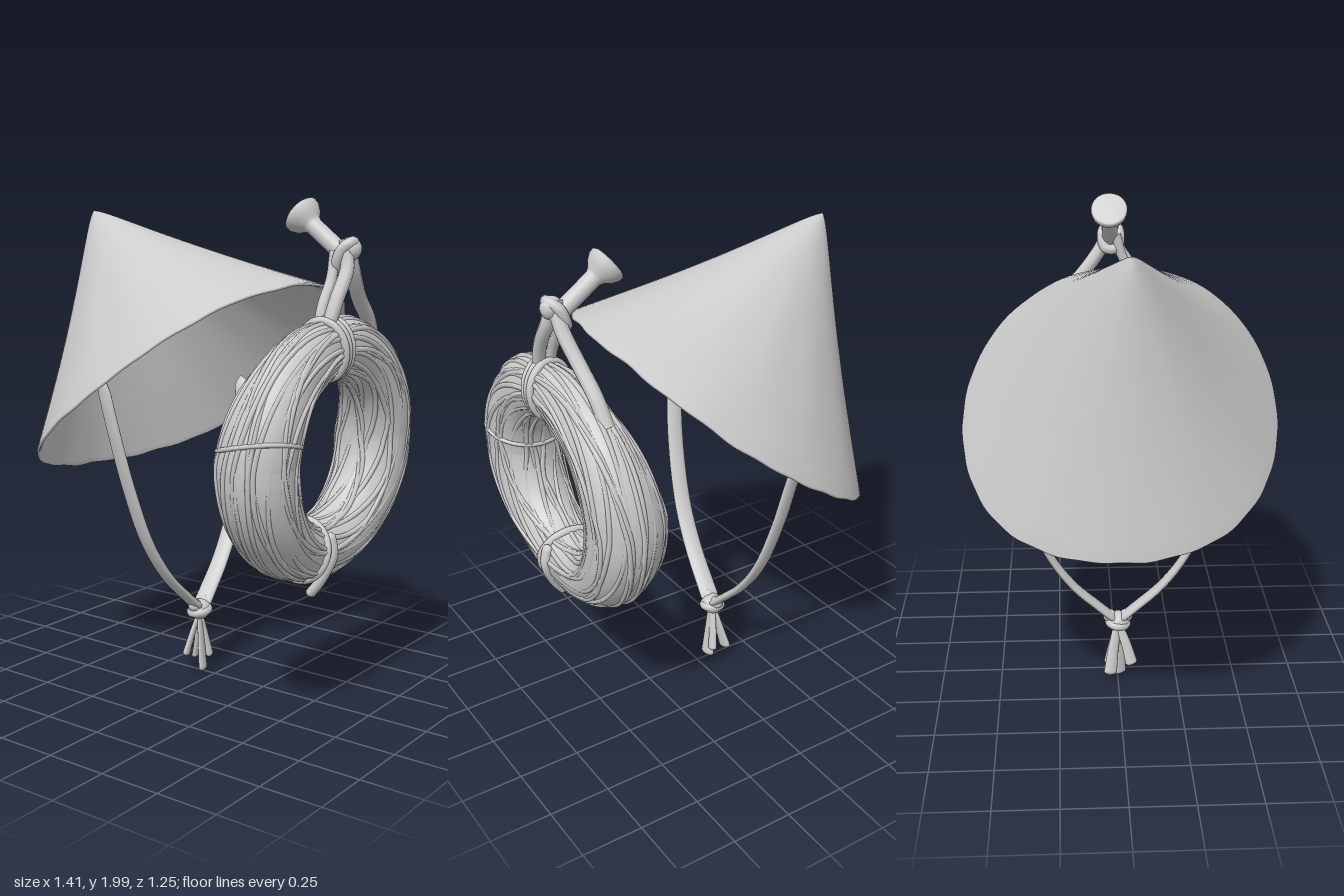
import * as THREE from 'three';

const V = (x, y, z) => new THREE.Vector3(x, y, z);
const grey = new THREE.MeshStandardMaterial({ color: 0xcccccc });
grey.name = 'plain grey';

// Smooth skin over rings: fn(u, v) gives a point, v wraps around each ring
function skin(nu, nv, fn) {
  const pos = [], idx = [];
  for (let i = 0; i <= nu; i++)
    for (let j = 0; j < nv; j++) pos.push(...fn(i / nu, j / nv).toArray());
  for (let i = 0; i < nu; i++)
    for (let j = 0; j < nv; j++) {
      const k = (j + 1) % nv;
      const a = i * nv + j, b = i * nv + k, c = a + nv, d = b + nv;
      idx.push(a, b, d, a, d, c);
    }
  const g = new THREE.BufferGeometry();
  g.setAttribute('position', new THREE.Float32BufferAttribute(pos, 3));
  g.setIndex(idx);
  g.computeVertexNormals();
  return g;
}

// Strip with an oval section swept along a path, rounded off at both ends
function strip(points, wide, halfWide, halfThick, taper = () => 1) {
  const curve = new THREE.CatmullRomCurve3(points);
  return skin(32, 12, (u, v) => {
    const t = curve.getTangent(u);
    const a = wide.clone().addScaledVector(t, -wide.dot(t)).normalize();
    const b = t.clone().cross(a);
    const end = Math.min(1, Math.sqrt(Math.max(0, Math.min(u, 1 - u)) * 16)) * taper(u);
    const w = v * Math.PI * 2;
    return curve.getPoint(u)
      .addScaledVector(a, Math.cos(w) * halfWide * end)
      .addScaledVector(b, Math.sin(w) * halfThick * end);
  });
}

const cord = (points, r, closed = false, n = 24) =>
  new THREE.TubeGeometry(new THREE.CatmullRomCurve3(points, closed), n, r, 8, closed);

// Tilted conical hat
const APEX = V(-0.632, 1.957, 0.025);
const AXIS = V(0.58, -0.81, 0);
function hatPoint(s, t) {
  const full = 1 + 0.02 * Math.sin(2 * t) ** 2;
  const c = Math.cos(t) * full, n = Math.sin(t) * full;
  const rim = V(-0.115 + 0.583 * c - 0.045 * n, 1.21 + 0.42 * c + 0.05 * c * c + 0.045 * n, 0.62 * n + 0.012 * c * c);
  const ragged = 1 + s ** 6 * (0.003 * Math.sin(5 * t + 1) + 0.002 * Math.sin(23 * t + 1));
  const p = APEX.clone().lerp(rim, s * ragged);
  // slight sag, blunt tip and shallow creases
  const dent = 0.022 * Math.sin(Math.PI * s) + 0.018 * Math.exp(-s * 25)
    + 0.003 * s * Math.sin(13 * t) * Math.sin(5 * s + t);
  return p.addScaledVector(AXIS, dent);
}
function hatGeometry() {
  const rows = [];
  for (let i = 0; i <= 24; i++) rows.push([(i / 24) ** 1.4, 0]);
  rows.push([1.0, 0.004], [0.995, 0.014], [0.985, 0.018]);
  for (let i = 20; i >= 0; i--) rows.push([0.97 * i / 20, 0.018]);
  const n = rows.length - 1;
  return skin(n, 120, (u, v) => {
    const [s, inset] = rows[Math.round(u * n)];
    return hatPoint(s, v * Math.PI * 2).addScaledVector(AXIS, inset);
  });
}

// Rope coil, standing in the yz plane
const TIE = 1.45;
function coilPoint(phi, v, k) {
  const s = Math.sin(phi), c = Math.cos(phi), up = Math.max(0, s), down = Math.max(0, -s);
  const pinch = Math.exp(-(((phi - TIE) / 0.22) ** 2));
  const R = 0.41 - 0.02 * s * s;
  const rr = (0.147 - 0.027 * s * s) * (1 - 0.12 * pinch) * k;
  const rx = (0.157 - 0.065 * up ** 1.5 - 0.03 * down * down) * (1 - 0.08 * pinch) * k;
  const r = R + rr * Math.cos(v);
  return V(0.54 + 0.06 * up - 0.015 * down * down + rx * Math.sin(v), 1.06 + r * s, 0.07 + r * c);
}

function strandGeometry(i, count) {
  const pts = [];
  for (let j = 0; j < 40; j++) {
    const phi = j / 40 * Math.PI * 2;
    const v = i / count * Math.PI * 2 + 0.22 * Math.sin(phi * 2 + i * 1.3);
    pts.push(coilPoint(phi, v, 0.925 + 0.025 * Math.sin(phi * 3 + i * 2.1)));
  }
  return new THREE.TubeGeometry(new THREE.CatmullRomCurve3(pts, true), 100, 0.011, 6, true);
}

function wrapGeometry(phi, slant, r, k) {
  const pts = [];
  for (let j = 0; j < 20; j++) {
    const v = j / 20 * Math.PI * 2;
    pts.push(coilPoint(phi + slant * Math.sin(v), v, k));
  }
  return cord(pts, r, true, 60);
}

export function createModel() {
  const model = new THREE.Group();
  const group = (name) => {
    const g = new THREE.Group();
    g.name = name;
    model.add(g);
    return g;
  };
  const add = (parent, name, geometry) => {
    const m = new THREE.Mesh(geometry, grey);
    m.name = name;
    parent.add(m);
    return m;
  };

  add(model, 'conicalHat', hatGeometry());

  // Chin straps meeting in a knot with loose tails
  const chin = group('chinStrap');
  for (const side of [1, -1]) {
    add(chin, side > 0 ? 'frontStrap' : 'backStrap', strip([
      V(-0.205, side > 0 ? 1.34 : 1.22, 0.47 * side), V(-0.168, 1.1, 0.435 * side),
      V(-0.14, 0.85, 0.375 * side), V(-0.12, 0.62, 0.29 * side),
      V(-0.105, 0.46, 0.185 * side), V(-0.09, 0.35, 0.075 * side), V(-0.08, 0.28, 0),
    ], V(1, 0, 0.15 * side), 0.042, 0.018, (u) => 0.8 + 0.2 * u));
  }
  const knot = add(chin, 'knot', new THREE.SphereGeometry(0.05, 20, 14));
  knot.position.set(-0.08, 0.28, 0);
  knot.scale.set(0.95, 0.85, 1.05);
  const band = add(chin, 'knotBand', new THREE.TorusGeometry(0.036, 0.02, 10, 24));
  band.position.set(-0.08, 0.275, 0);
  band.rotation.set(Math.PI / 2 + 0.15, 0.12, 0);
  for (const side of [1, -1]) {
    const lump = add(chin, 'knotLump', new THREE.SphereGeometry(0.028, 14, 10));
    lump.position.set(-0.08, 0.305, 0.035 * side);
  }
  for (const [x, y, z, w] of [[-0.13, 0.045, -0.035, 0.03], [-0.058, 0.008, 0.005, 0.034],
    [-0.11, 0.08, 0.06, 0.027], [-0.055, 0.06, -0.04, 0.022]]) {
    add(chin, 'strapTail', strip([V(-0.08, 0.27, 0), V((x - 0.08) / 2, (y + 0.26) / 2, z * 0.6), V(x, y, z)],
      V(0.3, 0, 1), w, 0.015, (u) => 0.6 + 0.4 * u));
  }

  // Coil body with its strands
  const coil = group('ropeCoil');
  add(coil, 'coilBody', skin(96, 32, (u, v) => coilPoint(u * Math.PI * 2, v * Math.PI * 2, 0.965)));
  for (let i = 0; i < 36; i++) add(coil, 'strand', strandGeometry(i, 36));

  // Cords tying the coil together
  const ties = group('coilTies');
  for (const d of [-0.055, 0, 0.055]) add(ties, 'topTie', wrapGeometry(TIE + d, 0.03, 0.016, 1.04));
  add(ties, 'sideTie', wrapGeometry(0.16, 0.06, 0.009, 0.97));
  add(ties, 'bottomTie', wrapGeometry(4.93, 0.04, 0.017, 0.96));
  add(ties, 'tieTail', strip([V(0.635, 0.76, 0.13), V(0.65, 0.67, 0.13), V(0.61, 0.57, 0.145), V(0.56, 0.5, 0.155)],
    V(0, 0, 1), 0.024, 0.02));

  // Hanging loop over the nail
  const loop = group('hangingLoop');
  add(loop, 'frontCord', cord([V(0.61, 1.84, 0.01), V(0.63, 1.74, 0.03), V(0.63, 1.63, 0.1),
    V(0.62, 1.52, 0.14), V(0.61, 1.42, 0.14)], 0.027));
  add(loop, 'innerCord', cord([V(0.57, 1.8, 0.02), V(0.575, 1.7, 0.05), V(0.575, 1.6, 0.11),
    V(0.58, 1.48, 0.15)], 0.021));
  add(loop, 'backCord', cord([V(0.61, 1.83, 0), V(0.61, 1.74, -0.04), V(0.59, 1.62, -0.13),
    V(0.58, 1.53, -0.22), V(0.57, 1.43, -0.28)], 0.03));
  add(loop, 'nailWrap', cord([V(0.64, 1.835, 0.01), V(0.61, 1.81, 0.035), V(0.58, 1.74, 0.025),
    V(0.58, 1.74, -0.025), V(0.61, 1.81, -0.035)], 0.022, true, 40));
  const loopKnot = add(loop, 'loopKnot', new THREE.SphereGeometry(0.04, 16, 12));
  loopKnot.position.set(0.625, 1.81, 0);
  loopKnot.scale.set(1.1, 1.1, 0.9);

  // Slanted nail with a flared head
  const profile = [[0, 0], [0.068, 0], [0.076, 0.008], [0.075, 0.025], [0.06, 0.052], [0.042, 0.068],
    [0.034, 0.085], [0.034, 0.285], [0.025, 0.3], [0, 0.3]];
  const nail = add(model, 'nail', new THREE.LatheGeometry(
    profile.map(([r, h]) => new THREE.Vector2(r, h)), 28));
  nail.position.set(0.39, 1.94, -0.015);
  nail.quaternion.setFromUnitVectors(V(0, 1, 0), V(0.8, -0.6, 0.04).normalize());

  return model;
}
